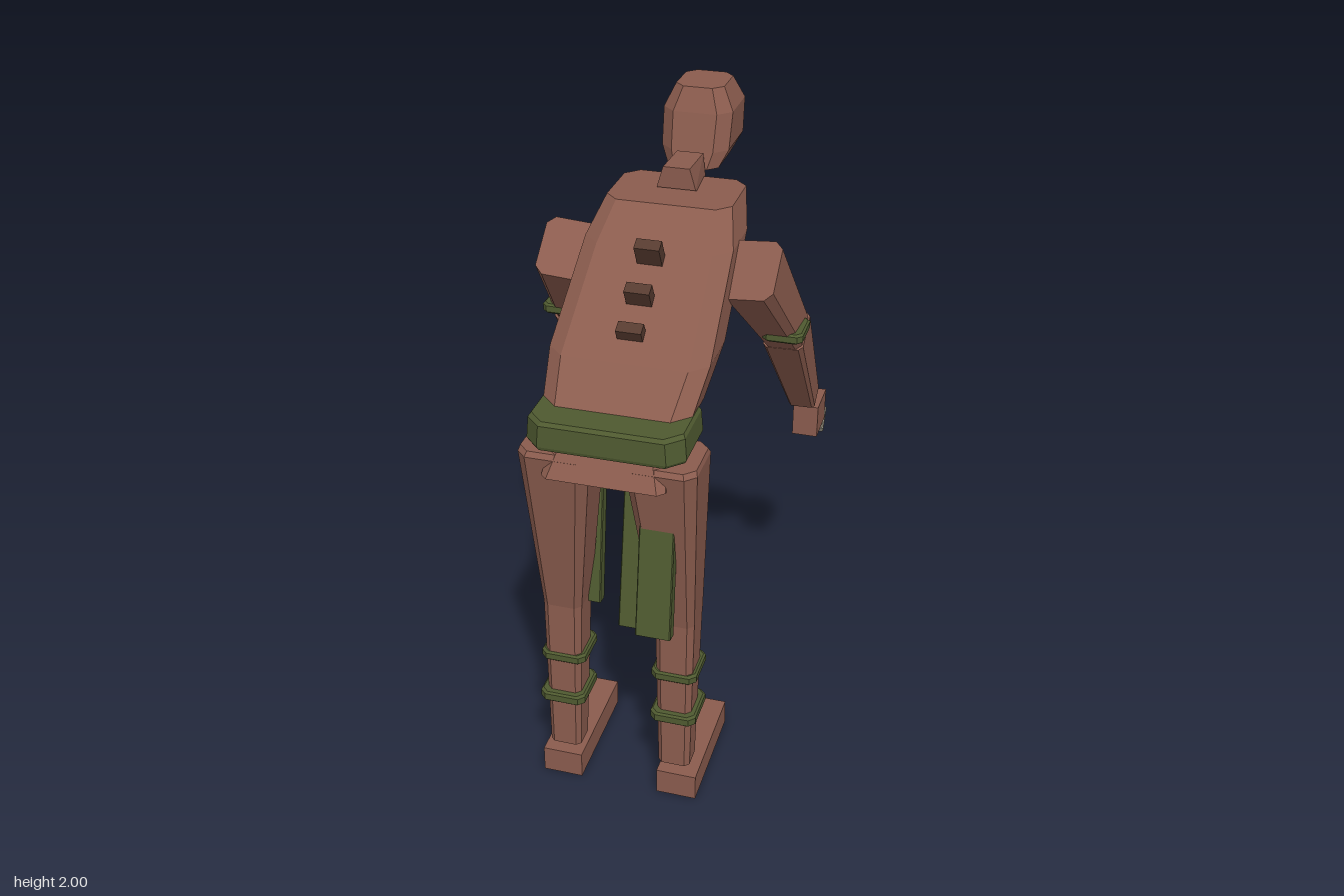
import * as THREE from 'three';

const mat = (name, color) => {
  const m = new THREE.MeshStandardMaterial({ color });
  m.name = name;
  return m;
};

export function createModel() {
  const skin = mat('clay brown skin', 0x8b5c4e);
  const cloth = mat('olive cloth', 0x4f5a30);
  const spine = mat('dark brown spine', 0x573b30);
  const claw = mat('grey claw', 0x8a8676);
  const model = new THREE.Group();
  model.name = 'stoopingFigure';

  const V3 = (x, y, z) => new THREE.Vector3(x, y, z);
  const add = (name, geo, material, parent = model) => {
    const mesh = new THREE.Mesh(geo, material);
    mesh.name = name;
    parent.add(mesh);
    return mesh;
  };

  // Faceted skin over chamfered rectangles: rings of { c, u, v, cut }, with U x V along the run
  function loft(rings, U, V) {
    const loops = rings.map(({ c, u, v, cut }) => [
      [u, -v + cut], [u, v - cut], [u - cut, v], [-u + cut, v],
      [-u, v - cut], [-u, -v + cut], [-u + cut, -v], [u - cut, -v],
    ].map(([a, b]) => c.clone().addScaledVector(U, a).addScaledVector(V, b)));
    const pos = [];
    const tri = (...pts) => pts.forEach((p) => pos.push(p.x, p.y, p.z));
    for (let j = 0; j + 1 < loops.length; j++) {
      for (let i = 0; i < 8; i++) {
        const k = (i + 1) % 8, a = loops[j], b = loops[j + 1];
        tri(a[i], a[k], b[k]);
        tri(a[i], b[k], b[i]);
      }
    }
    const first = loops[0], last = loops[loops.length - 1];
    for (let i = 1; i < 7; i++) {
      tri(first[0], first[i + 1], first[i]);
      tri(last[0], last[i], last[i + 1]);
    }
    const geo = new THREE.BufferGeometry();
    geo.setAttribute('position', new THREE.Float32BufferAttribute(pos, 3));
    geo.computeVertexNormals();
    return geo;
  }

  // Level rings from bottom to top: [y, zMin, zMax, halfWidth, chamfer, centreX]
  const stack = (rows) => loft(rows.map(([y, z0, z1, u, cut, x = 0]) => (
    { c: V3(x, y, (z0 + z1) / 2), u, v: (z1 - z0) / 2, cut })), V3(1, 0, 0), V3(0, 0, -1));

  // Tapered bar from a to b, with [half width, half depth] at both ends
  function bar(a, b, [ua, va], [ub, vb], chamfer) {
    const A = b.clone().sub(a).normalize();
    const U = V3(1, 0, 0).addScaledVector(A, -A.x).normalize();
    const V = A.clone().cross(U);
    return loft([
      { c: a, u: ua, v: va, cut: ua * chamfer },
      { c: b, u: ub, v: vb, cut: ub * chamfer },
    ], U, V);
  }

  // Band with softened rims
  const band = (y0, y1, z0, z1, u, cut, x = 0) => {
    const e = 0.006;
    return stack([
      [y0, z0 + e, z1 - e, u - e, cut, x], [y0 + e, z0, z1, u, cut, x],
      [y1 - e, z0, z1, u, cut, x], [y1, z0 + e, z1 - e, u - e, cut, x],
    ]);
  };

  // Trunk leaning toward -z, from hips to shoulders
  add('torso', stack([
    [1.18, 0.41, 0.62, 0.18, 0.02],
    [1.26, 0.355, 0.575, 0.165, 0.03],
    [1.34, 0.28, 0.52, 0.215, 0.05],
    [1.45, 0.13, 0.395, 0.235, 0.05],
    [1.67, -0.17, 0.10, 0.222, 0.05],
    [1.76, -0.27, -0.02, 0.19, 0.04],
  ]), skin);
  add('belt', stack([
    [1.265, 0.35, 0.61, 0.225, 0.045],
    [1.275, 0.35, 0.613, 0.23, 0.045],
    [1.34, 0.35, 0.61, 0.225, 0.045],
    [1.35, 0.355, 0.60, 0.218, 0.045],
  ]), cloth);

  // Spine knobs, shrinking toward the hips
  [[1.665, 0.135, 0.1], [1.585, 0.24, 0.075], [1.51, 0.325, 0.055]].forEach(([y, z, h]) => {
    const knob = add('spineKnob', new THREE.BoxGeometry(0.075, h, 0.036), spine);
    knob.position.set(0, y, z);
    knob.rotation.x = 0.5;
  });

  // Neck wedge and faceted head
  const neck = add('neck', new THREE.BoxGeometry(0.12, 0.07, 0.155), skin);
  const np = neck.geometry.attributes.position;
  for (let i = 0; i < np.count; i++) {
    const top = np.getY(i) > 0, far = np.getZ(i) < 0;
    np.setXYZ(i, np.getX(i) * (top ? 0.68 : far ? 0.9 : 1), top ? (far ? 1.825 : 1.83) : (far ? 1.71 : 1.765), far ? -0.29 : -0.135);
  }
  neck.geometry = neck.geometry.toNonIndexed();
  neck.geometry.computeVertexNormals();
  add('head', stack([
    [1.77, -0.50, -0.295, 0.08, 0.03],
    [1.82, -0.573, -0.31, 0.105, 0.04],
    [1.93, -0.575, -0.34, 0.108, 0.04],
    [2.0, -0.54, -0.37, 0.075, 0.03],
  ]), skin);

  for (const s of [1, -1]) {
    const side = s > 0 ? 'left' : 'right';

    // Arm reaching down and toward -z
    const arm = new THREE.Group();
    arm.name = side + 'Arm';
    model.add(arm);
    const shoulder = V3(s * 0.278, 1.62, 0.055), elbow = V3(s * 0.338, 1.32, -0.195);
    add('upperArm', bar(shoulder, elbow, [0.08, 0.095], [0.06, 0.066], 0.3), skin, arm);
    add('forearm', bar(elbow, V3(s * 0.36, 0.97, -0.428), [0.063, 0.068], [0.043, 0.043], 0.2), skin, arm);
    add('armBand', band(1.338, 1.37, -0.2, -0.062, 0.062, 0.015, s * 0.35), cloth, arm);
    add('hand', new THREE.BoxGeometry(0.083, 0.11, 0.135), skin, arm).position.set(s * 0.37, 0.88, -0.485);
    for (let i = 0; i < 4; i++) {
      const t = i - 1.5;
      add('finger', bar(V3(s * 0.37 + t * 0.023, 0.792, -0.525), V3(s * 0.37 + t * 0.019, 0.829, -0.612),
        [0.01, 0.01], [0.008, 0.008], 0.5), claw, arm);
    }

    // Leg with two bands and a separate foot
    const leg = new THREE.Group();
    leg.name = side + 'Leg';
    model.add(leg);
    add('thigh', stack([
      [0.655, 0.37, 0.50, 0.06, 0.018, s * 0.175],
      [1.225, 0.39, 0.595, 0.105, 0.03, s * 0.155],
      [1.24, 0.40, 0.585, 0.1, 0.03, s * 0.155],
    ]), skin, leg);
    add('shin', stack([
      [0.125, 0.415, 0.505, 0.05, 0.014, s * 0.177],
      [0.66, 0.372, 0.5, 0.06, 0.018, s * 0.175],
    ]), skin, leg);
    add('kneeBand', band(0.448, 0.48, 0.36, 0.508, 0.07, 0.018, s * 0.175), cloth, leg);
    add('ankleBand', band(0.3, 0.334, 0.37, 0.525, 0.071, 0.018, s * 0.177), cloth, leg);
    add('foot', new THREE.BoxGeometry(0.126, 0.086, 0.38), skin, leg).position.set(s * 0.187, 0.043, 0.315);
  }

  // Hanging cloth strips: centre x, top [y, z], bottom [y, z]
  [
    [0.033, [1.285, 0.29], [0.56, 0.405]],
    [-0.13, [1.285, 0.305], [0.63, 0.40]],
    [0.143, [1.28, 0.51], [0.683, 0.588]],
  ].forEach(([x, [y0, z0], [y1, z1]]) => {
    add('clothStrip', bar(V3(x, y0, z0), V3(x, y1, z1), [0.05, 0.018], [0.053, 0.02], 0.06), cloth);
  });

  return model;
}
